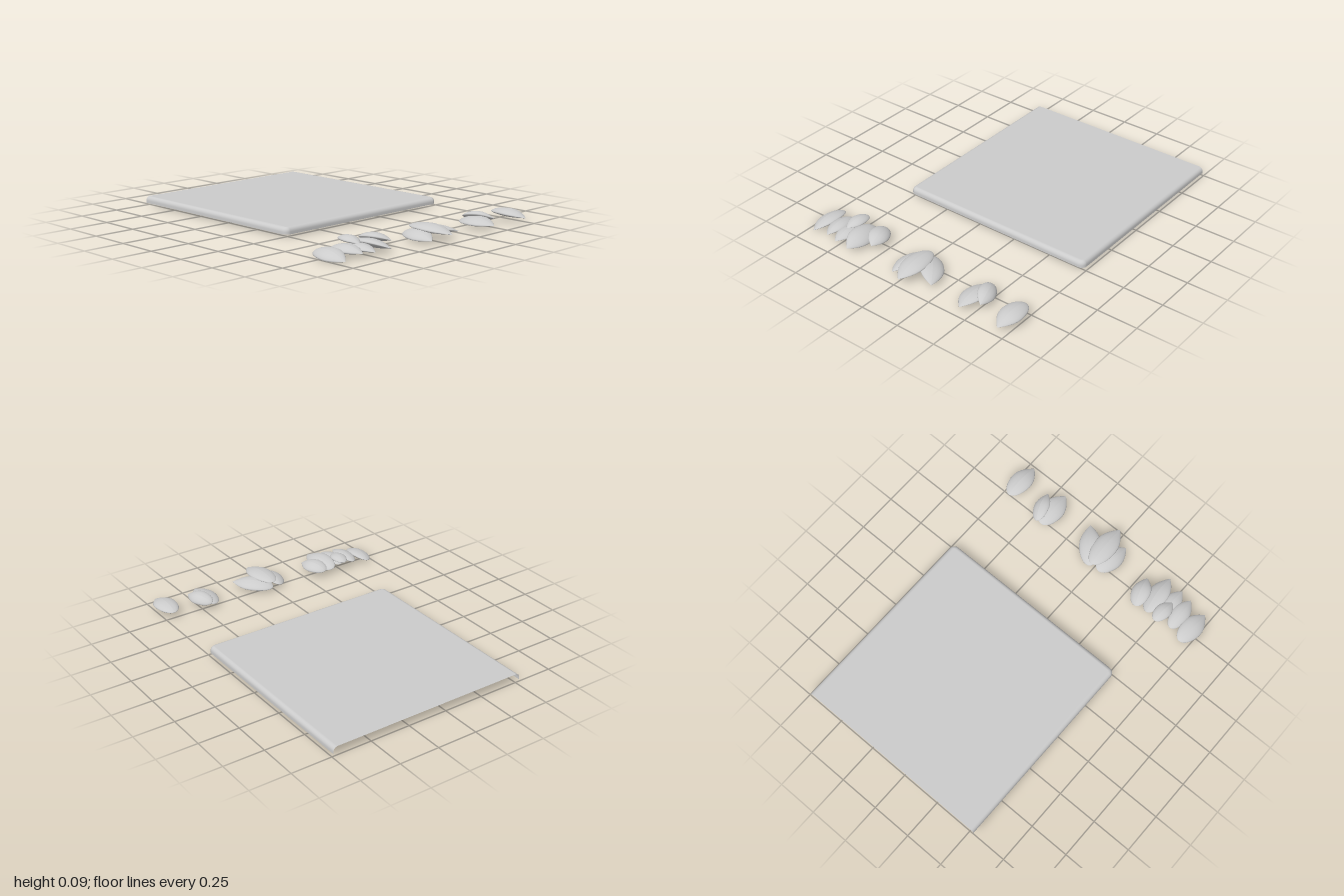
import * as THREE from 'three';

const material = new THREE.MeshStandardMaterial({ color: 0xcccccc, side: THREE.DoubleSide });

// Flat sheet with a rounded, turned-down lip on three sides; the left end stays open.
function trayGeometry() {
  const xL = -1, xR = 0.265, zB = -0.74, zF = 0.525, radius = 0.035, steps = 6;
  // Lip profile, from the flat top outwards and down: [inset, y]
  const profile = [[0.026, 0.07]];
  for (let k = 1; k <= 5; k++) {
    const a = (k / 5) * Math.PI / 2;
    profile.push([0.026 * (1 - Math.sin(a)), 0.044 + 0.026 * Math.cos(a)]);
  }
  profile.push([0, 0.03]);

  // U-shaped outline at a given inset, front edge to back edge
  const outline = (inset) => {
    const r = radius - inset, pts = [[xL, zF - inset]];
    for (let i = 0; i <= steps; i++) {
      const a = (i / steps) * Math.PI / 2;
      pts.push([xR - radius + r * Math.sin(a), zF - radius + r * Math.cos(a)]);
    }
    for (let i = 0; i <= steps; i++) {
      const a = (i / steps) * Math.PI / 2;
      pts.push([xR - radius + r * Math.cos(a), zB + radius - r * Math.sin(a)]);
    }
    pts.push([xL, zB + inset]);
    return pts;
  };

  const position = [], index = [];
  for (const [inset, y] of profile) {
    for (const [x, z] of outline(inset)) position.push(x, y, z);
  }
  const n = position.length / 3 / profile.length;
  for (let i = 1; i < n - 1; i++) index.push(0, i, i + 1); // flat top
  for (let j = 0; j < profile.length - 1; j++) {
    for (let i = 0; i < n - 1; i++) {
      const a = j * n + i, b = a + n;
      index.push(a, b, b + 1, a, b + 1, a + 1);
    }
  }
  const g = new THREE.BufferGeometry();
  g.setAttribute('position', new THREE.Float32BufferAttribute(position, 3));
  g.setIndex(index);
  g.computeVertexNormals();
  return g;
}

// Unit seed along x: blunt back, pointed front, domed top, shallow underside.
function seedGeometry() {
  const g = new THREE.SphereGeometry(1, 20, 14).rotateZ(-Math.PI / 2);
  const p = g.attributes.position;
  for (let i = 0; i < p.count; i++) {
    const x = p.getX(i), y = p.getY(i), z = p.getZ(i);
    const taper = x > 0 ? Math.sqrt(Math.max(0, 1 - x * x)) : 1;
    const lens = y * Math.pow(Math.abs(y), 0.25) * taper;
    p.setXYZ(i, x, (y > 0 ? 1.1 : 0.75) * lens - 0.35 * x * x, z * taper);
  }
  g.computeVertexNormals();
  return g;
}

export function createModel() {
  const model = new THREE.Group();

  const tray = new THREE.Mesh(trayGeometry(), material);
  tray.name = 'tray';
  model.add(tray);

  // Seeds: x, y, z, half length, half width, half thickness, yaw, roll, pitch
  const groups = {
    singleSeed: [[0.855, 0.065, -0.70, 0.122, 0.068, 0.025, 0, -0.05, -0.05]],
    seedPair: [
      [0.80, 0.07, -0.49, 0.098, 0.052, 0.025, 0.35, -0.4, 0],
      [0.838, 0.053, -0.428, 0.122, 0.07, 0.023, 0, 0.15, 0],
    ],
    seedTrio: [
      [0.80, 0.053, -0.105, 0.135, 0.068, 0.025, 0.68, -0.2, 0],
      [0.847, 0.078, -0.02, 0.147, 0.072, 0.024, 0.05, 0, -0.05],
      [0.818, 0.048, 0.055, 0.118, 0.064, 0.024, -0.18, 0.25, -0.05],
    ],
    seedCluster: [
      [0.757, 0.07, 0.328, 0.098, 0.06, 0.025, 0.3, -0.25, 0],
      [0.812, 0.058, 0.415, 0.132, 0.068, 0.026, 0.1, -0.3, 0],
      [0.74, 0.085, 0.51, 0.083, 0.048, 0.02, -0.1, 0, -0.05],
      [0.82, 0.053, 0.51, 0.108, 0.056, 0.022, 0, 0, 0],
      [0.803, 0.056, 0.595, 0.11, 0.055, 0.023, 0.05, 0.15, 0],
      [0.785, 0.041, 0.70, 0.12, 0.065, 0.024, -0.1, 0.27, -0.08],
    ],
  };
  const seed = seedGeometry();
  for (const [name, items] of Object.entries(groups)) {
    const group = new THREE.Group();
    group.name = name;
    for (const [x, y, z, l, w, h, yaw, roll, pitch] of items) {
      const mesh = new THREE.Mesh(seed, material);
      mesh.name = 'seed';
      mesh.position.set(x, y, z);
      mesh.scale.set(l, h, w);
      mesh.rotation.set(roll, yaw, pitch, 'YXZ');
      group.add(mesh);
    }
    model.add(group);
  }
  return model;
}
